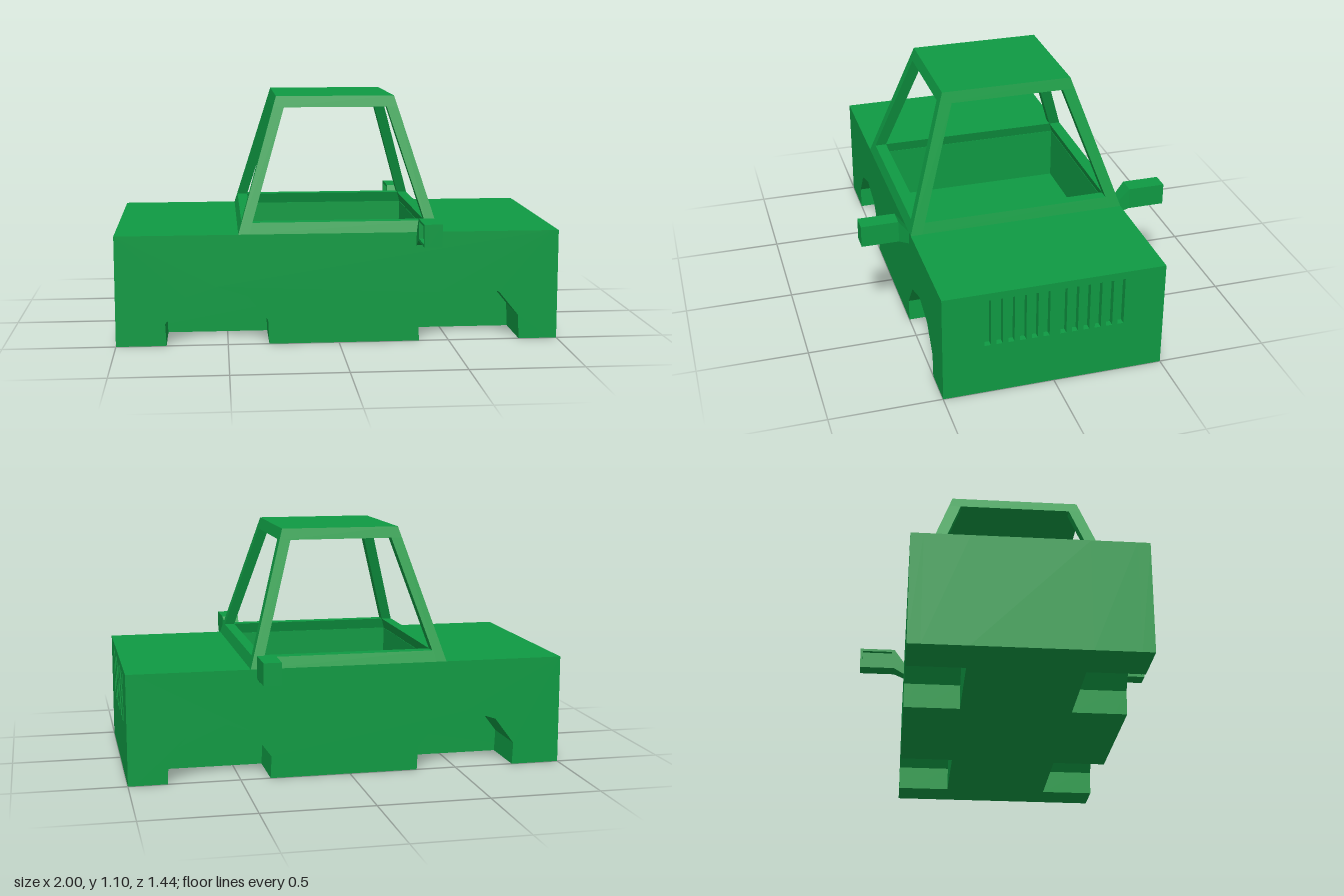
import * as THREE from 'three';

const green = new THREE.MeshStandardMaterial({ color: 0x0f9a43 });
green.name = 'body green';

const add = (parent, geo, name) => {
  const m = new THREE.Mesh(geo, green);
  m.name = name;
  parent.add(m);
  return m;
};

// Box whose corners (signs sx, sy, sz) are placed by a rule
function taper(rule) {
  const g = new THREE.BoxGeometry(2, 2, 2).toNonIndexed();
  const p = g.attributes.position;
  for (let i = 0; i < p.count; i++) p.setXYZ(i, ...rule(p.getX(i), p.getY(i), p.getZ(i)));
  g.computeVertexNormals();
  return g;
}

const shapeOf = pts => new THREE.Shape(pts.map(p => new THREE.Vector2(...p)));
const rect = (x0, y0, x1, y1) => [[x0, y0], [x1, y0], [x1, y1], [x0, y1]];

// Extrude a side profile (x, y) from z0 to z1
const extrudeZ = (shape, z0, z1) =>
  new THREE.ExtrudeGeometry(shape, { depth: z1 - z0, bevelEnabled: false }).translate(0, 0, z0);

// Extrude an end profile (-z, y) from x0 to x1
const extrudeX = (shape, x0, x1) =>
  new THREE.ExtrudeGeometry(shape, { depth: x1 - x0, bevelEnabled: false }).rotateY(Math.PI / 2).translate(x0, 0, 0);

const NOSE = 0.97;
const CABIN_X = 0.4, CABIN_Z = 0.445, FLOOR = 0.25, WELL_Z = 0.25;

// Faceted wheel arch, relative to its centre
const arch = [[-0.225, 0], [-0.23, 0.1], [-0.14, 0.22], [0, 0.265], [0.14, 0.22], [0.23, 0.11], [0.235, 0]];

function bodyProfile(arches, cabin) {
  const pts = [[-1, 0]];
  if (arches) for (const c of [-0.55, 0.59]) for (const [x, y] of arch) pts.push([c + x, y]);
  pts.push([NOSE, 0], [NOSE, 0.5]);
  if (cabin) pts.push([CABIN_X, 0.5], [CABIN_X, FLOOR], [-CABIN_X, FLOOR], [-CABIN_X, 0.5]);
  pts.push([-1, 0.5]);
  return shapeOf(pts);
}

// Cabin outline at height y: outer and inner half sizes
const outer = y => [0.45 - 0.3 * (y - 0.5), 0.5 - (y - 0.5) / 3];
const inner = y => [0.402 - 0.304 * (y - 0.5), 0.447 - 0.34 * (y - 0.5)];

export function createModel() {
  const car = new THREE.Group();
  car.name = 'car';

  // Lower body in lengthwise slices: centre, wheel well zones, outer walls
  const body = new THREE.Group();
  body.name = 'body';
  car.add(body);
  add(body, extrudeZ(bodyProfile(false, true), -WELL_Z, WELL_Z), 'bodyCentre');
  for (const s of [-1, 1]) {
    const slice = (profile, a, b, name) =>
      add(body, extrudeZ(profile, Math.min(s * a, s * b), Math.max(s * a, s * b)), name);
    slice(bodyProfile(true, true), WELL_Z, CABIN_Z, 'wheelWells');
    slice(bodyProfile(true, false), CABIN_Z, 0.5, 'sideWall');
  }

  // Nose panel with two banks of six grille slots
  const nose = shapeOf(rect(-0.5, 0, 0.5, 0.5));
  for (const s of [-1, 1]) {
    for (let i = 0; i < 6; i++) {
      const z = s * (0.038 + i * 0.0525);
      nose.holes.push(new THREE.Path(rect(z - 0.014, 0.24, z + 0.014, 0.465).map(p => new THREE.Vector2(...p))));
    }
  }
  add(car, extrudeX(nose, NOSE, 1), 'grillePanel');

  // Cabin frame: roof, sloping corner pillars and window sills
  const cabin = new THREE.Group();
  cabin.name = 'cabinFrame';
  car.add(cabin);
  add(cabin, taper((sx, sy, sz) => {
    const y = sy > 0 ? 1.1 : 1.05, [x, z] = outer(y);
    return [sx * x, y, sz * z];
  }), 'roof');
  for (const px of [-1, 1]) {
    for (const pz of [-1, 1]) {
      add(cabin, taper((sx, sy, sz) => {
        const y = sy > 0 ? 1.05 : 0.5;
        return [px * (sx * px > 0 ? outer : inner)(y)[0], y, pz * (sz * pz > 0 ? outer : inner)(y)[1]];
      }), 'pillar');
    }
  }
  for (const s of [-1, 1]) {
    add(cabin, taper((sx, sy, sz) => {
      const y = sy > 0 ? 0.55 : 0.5;
      return [sx * inner(y)[0], y, s * (sz * s > 0 ? outer : inner)(y)[1]];
    }), 'sideSill');
    add(cabin, taper((sx, sy, sz) => {
      const y = sy > 0 ? 0.55 : 0.5;
      return [s * (sx * s > 0 ? outer : inner)(y)[0], y, sz * inner(y)[1]];
    }), 'endSill');
  }

  // Wing mirrors: tapered arm, housing and raised rim around the mirror face
  for (const s of [-1, 1]) {
    const mirror = new THREE.Group();
    mirror.name = s > 0 ? 'leftMirror' : 'rightMirror';
    car.add(mirror);
    add(mirror, taper((sx, sy, sz) => sz * s > 0
      ? [sx > 0 ? 0.43 : 0.35, sy > 0 ? 0.57 : 0.47, s * 0.55]
      : [sx > 0 ? 0.41 : 0.35, sy > 0 ? 0.5 : 0.44, s * 0.5]), 'mirrorArm');
    add(mirror, new THREE.BoxGeometry(0.06, 0.1, 0.17).translate(0.4, 0.52, s * 0.635), 'mirrorHousing');
    const c = -s * 0.635;
    const rim = shapeOf(rect(c - 0.085, 0.47, c + 0.085, 0.57));
    rim.holes.push(new THREE.Path(rect(c - 0.073, 0.482, c + 0.073, 0.558).map(p => new THREE.Vector2(...p))));
    add(mirror, extrudeX(rim, 0.35, 0.37), 'mirrorRim');
  }

  return car;
}
